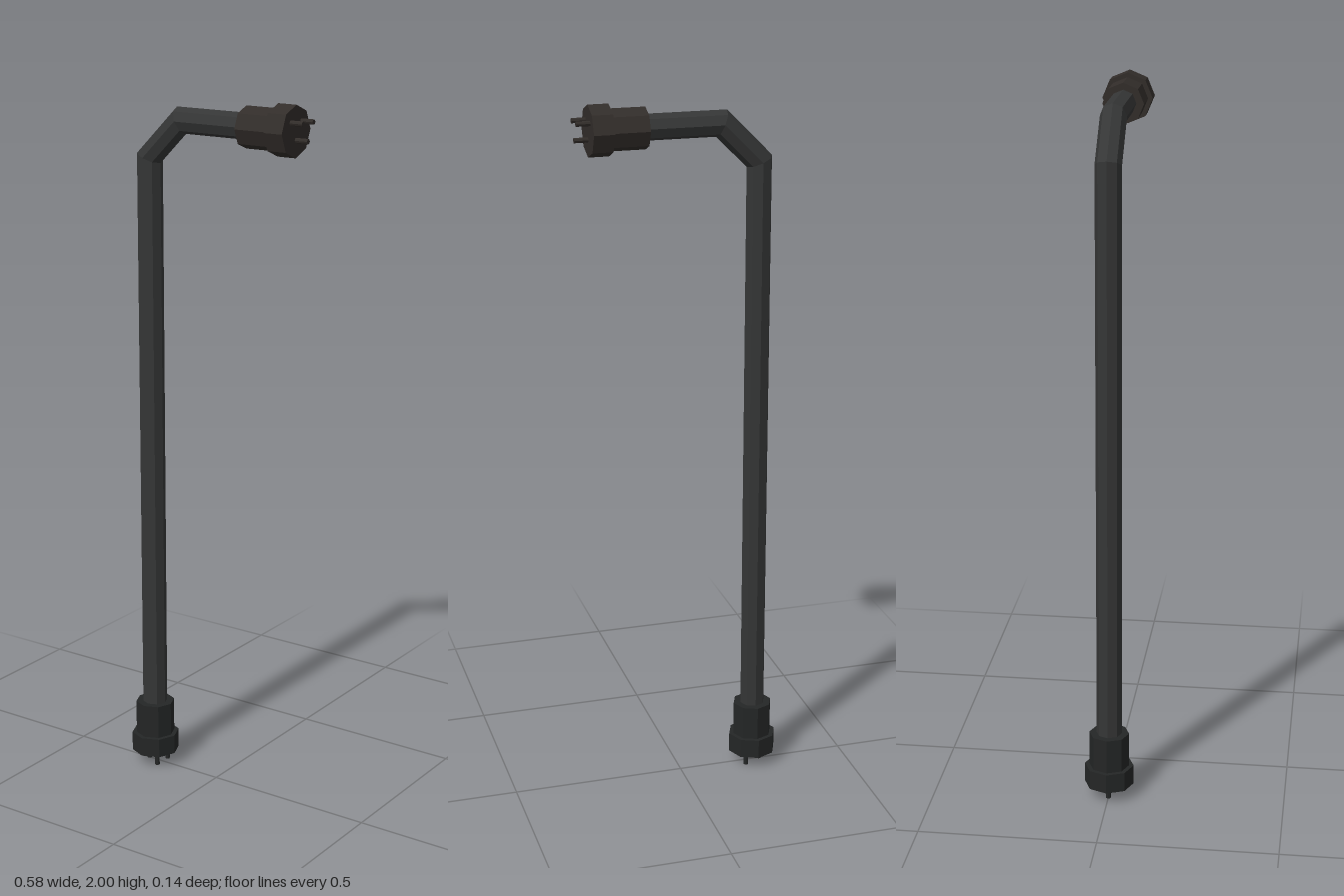
import * as THREE from 'three';

const SIDES = 8;
const material = (color) => new THREE.MeshStandardMaterial({ color, flatShading: true });

// Cylinder lying along +x, starting at x
function rod(name, radius, x, length, sides, mat, y = 0, z = 0) {
  const geometry = new THREE.CylinderGeometry(radius, radius, length, sides);
  geometry.rotateZ(-Math.PI / 2);
  const mesh = new THREE.Mesh(geometry, mat);
  mesh.name = name;
  mesh.position.set(x + length / 2, y, z);
  return mesh;
}

// Connector pointing along +x: sleeve, wider collar and three pins
function connector(name, color) {
  const mat = material(color);
  const group = new THREE.Group();
  group.name = name;
  group.add(rod('sleeve', 0.057, 0, 0.1, SIDES, mat));
  group.add(rod('collar', 0.07, 0.1, 0.057, SIDES, mat));
  for (const [y, z] of [[0.025, 0.026], [0.025, -0.026], [-0.023, 0]]) {
    group.add(rod('pin', 0.007, 0.15, 0.045, SIDES, mat, y, z));
  }
  return group;
}

// Bent pipe: mitred octagonal rings along the path
function pipe(radius, color) {
  const t = Math.tan(Math.PI / 8);
  // centre x, y, then the direction to the outside of the bend
  const rings = [
    [-0.222, 0.15, -1, 0],
    [-0.222, 1.824, -1, t],
    [-0.114, 1.932, -t, 1],
    [0.13, 1.932, 0, 1],
  ];
  const positions = [];
  const indices = [];
  rings.forEach(([x, y, mx, my], i) => {
    for (let j = 0; j < SIDES; j++) {
      const a = (j / SIDES) * Math.PI * 2;
      const c = radius * Math.cos(a);
      positions.push(x + mx * c, y + my * c, radius * Math.sin(a));
      if (i === rings.length - 1) continue;
      const p = i * SIDES + j;
      const q = i * SIDES + ((j + 1) % SIDES);
      indices.push(p, q, q + SIDES, p, q + SIDES, p + SIDES);
    }
  });
  const geometry = new THREE.BufferGeometry();
  geometry.setAttribute('position', new THREE.Float32BufferAttribute(positions, 3));
  geometry.setIndex(indices);
  geometry.computeVertexNormals();
  const mesh = new THREE.Mesh(geometry, material(color));
  mesh.name = 'pipe';
  return mesh;
}

export function createModel() {
  const model = new THREE.Group();
  model.name = 'bentPipeWithConnectors';
  model.add(pipe(0.036, 0x353636));

  const upper = connector('upperConnector', 0x322d2a);
  upper.position.set(0.097, 1.93, 0);
  model.add(upper);

  // Same connector turned to point down
  const lower = connector('lowerConnector', 0x242626);
  lower.position.set(-0.222, 0.195, 0);
  lower.rotation.z = -Math.PI / 2;
  model.add(lower);

  return model;
}
